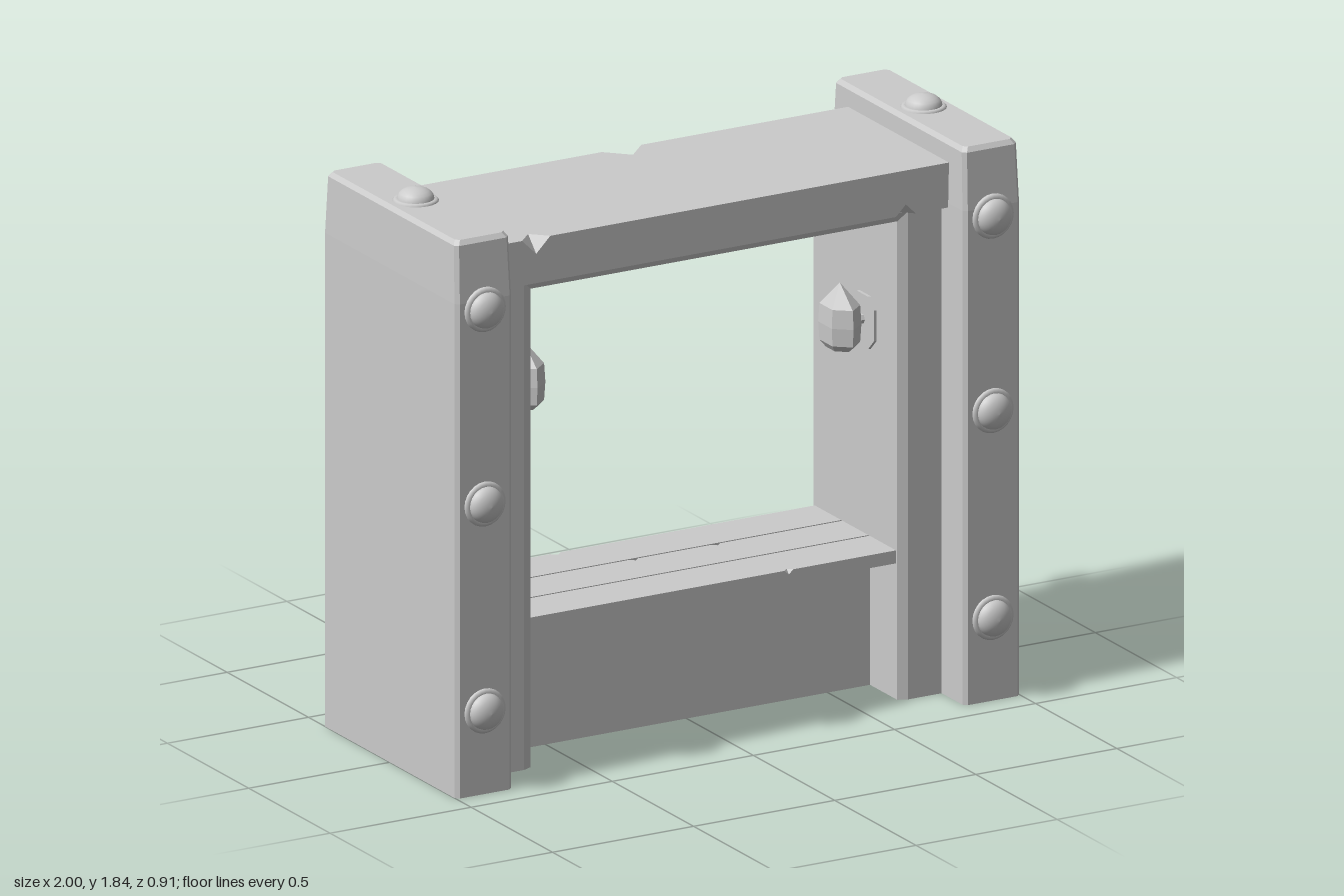
import * as THREE from 'three';

const flat = new THREE.MeshStandardMaterial({ color: 0xcccccc, flatShading: true });
const smooth = new THREE.MeshStandardMaterial({ color: 0xcccccc });

function mesh(parent, name, geometry, material = flat) {
  const m = new THREE.Mesh(geometry, material);
  m.name = name;
  parent.add(m);
  return m;
}

// Flat-faced geometry from a list of Vector3 triangle corners
function fromPoints(points) {
  const g = new THREE.BufferGeometry().setFromPoints(points);
  g.computeVertexNormals();
  return g;
}

// Joins closed convex rings of points and caps both ends
function loft(rings) {
  const out = [];
  const n = rings[0].length;
  const first = rings[0], last = rings[rings.length - 1];
  for (let i = 0; i < rings.length - 1; i++) {
    for (let j = 0; j < n; j++) {
      const k = (j + 1) % n;
      const a = rings[i][j], b = rings[i][k], c = rings[i + 1][k], d = rings[i + 1][j];
      out.push(a, b, c, a, c, d);
    }
  }
  for (let k = 1; k < n - 1; k++) {
    out.push(first[0], first[k + 1], first[k], last[0], last[k], last[k + 1]);
  }
  return fromPoints(out);
}

// Board along x with V-shaped chips cut from its long edges.
// Edges: 0 front bottom, 1 front top, 2 back top, 3 back bottom.
// Chip: [edge, x, half width, depth], listed in order of x.
function chippedBoard(w, y0, y1, z0, z1, chips) {
  const corners = [[y0, z1], [y1, z1], [y1, z0], [y0, z0]];
  const out = [];
  const on = (face, x, v) => {
    const [ya, za] = corners[face], [yb, zb] = corners[(face + 1) % 4];
    const len = Math.hypot(yb - ya, zb - za);
    return new THREE.Vector3(x, ya + (yb - ya) * v / len, za + (zb - za) * v / len);
  };
  for (let f = 0; f < 4; f++) {
    const len = f % 2 ? z1 - z0 : y1 - y0;
    const outline = [[-w, 0]];
    for (const [e, x, h, d] of chips) if (e === f) outline.push([x - h, 0], [x, d], [x + h, 0]);
    outline.push([w, 0], [w, len]);
    for (const [e, x, h, d] of [...chips].reverse()) {
      if (e === (f + 1) % 4) outline.push([x + h, len], [x, len - d], [x - h, len]);
    }
    outline.push([-w, len]);
    const pts = outline.map(([x, y]) => new THREE.Vector2(x, y));
    for (const tri of THREE.ShapeUtils.triangulateShape(pts, [])) {
      for (const i of tri) out.push(on(f, pts[i].x, pts[i].y));
    }
  }
  // The two sloping faces of every chip
  for (const [e, x, h, d] of chips) {
    const prev = (e + 3) % 4;
    const prevLen = prev % 2 ? z1 - z0 : y1 - y0;
    const a = on(e, x - h, 0), b = on(e, x + h, 0), c = on(e, x, d), g = on(prev, x, prevLen - d);
    out.push(a, g, c, b, c, g);
  }
  return fromPoints(out);
}

// Bevelled pillar ring at height y
function pillarRing(y, hx, hz, c = 0.012) {
  return [
    [-hx + c, hz], [hx - c, hz], [hx, hz - c], [hx, -hz + c],
    [hx - c, -hz], [-hx + c, -hz], [-hx, -hz + c], [-hx, hz - c],
  ].map(([x, z]) => new THREE.Vector3(x, y, z));
}

export function createModel() {
  const model = new THREE.Group();

  // Domed rivet on a thin washer, pointing along +y
  const rivetProfile = [[0.072, -0.012], [0.072, 0.004], [0.066, 0.01], [0.058, 0.01]];
  for (let i = 0; i <= 6; i++) {
    const t = i / 6 * Math.PI / 2;
    rivetProfile.push([0.058 * Math.cos(t), 0.01 + 0.036 * Math.sin(t)]);
  }
  const rivetGeo = new THREE.LatheGeometry(rivetProfile.map(([x, y]) => new THREE.Vector2(Math.max(x, 0), y)), 24);

  const pillarGeo = loft([
    pillarRing(0, 0.1, 0.41), pillarRing(1.6, 0.1, 0.41),
    pillarRing(1.785, 0.096, 0.398), pillarRing(1.8, 0.086, 0.386),
  ]);

  // Faceted lamp head, flattened towards the wall
  const lampGeo = new THREE.LatheGeometry(
    [[0, 1.1], [0.055, 1.1], [0.08, 1.122], [0.085, 1.18], [0.08, 1.24], [0, 1.31]]
      .map(([x, y]) => new THREE.Vector2(x, y)), 6);
  lampGeo.scale(0.71, 1, 1);

  // Wall plate with cut corners
  const plateShape = new THREE.Shape([
    [-0.07, -0.05], [-0.035, -0.085], [0.035, -0.085], [0.07, -0.05],
    [0.07, 0.05], [0.035, 0.085], [-0.035, 0.085], [-0.07, 0.05],
  ].map(([x, y]) => new THREE.Vector2(x, y)));
  const plateGeo = new THREE.ExtrudeGeometry(plateShape, { depth: 0.02, bevelEnabled: false });
  plateGeo.translate(0, 0, -0.01);

  for (const [side, s] of [['left', 1], ['right', -1]]) {
    // Pillar with rivets on front, back and top
    const pillar = new THREE.Group();
    pillar.name = side + 'Pillar';
    pillar.position.x = 0.9 * s;
    model.add(pillar);
    mesh(pillar, 'post', pillarGeo);
    for (const y of [0.27, 0.94, 1.57]) {
      for (const f of [1, -1]) {
        const r = mesh(pillar, 'rivet', rivetGeo, smooth);
        r.position.set(0, y, (y > 1.5 ? 0.411 : 0.41) * f);
        r.rotation.x = f * Math.PI / 2;
      }
    }
    mesh(pillar, 'topRivet', rivetGeo, smooth).position.set(0, 1.797, -0.015);

    // Wall lamp
    const lamp = new THREE.Group();
    lamp.name = side + 'WallLamp';
    lamp.position.z = 0.06;
    model.add(lamp);
    mesh(lamp, 'lampHead', lampGeo).position.x = 0.56 * s;
    const plate = mesh(lamp, 'wallPlate', plateGeo);
    plate.position.set(0.65 * s, 1.175, 0);
    plate.rotation.y = Math.PI / 2;
    const arm = mesh(lamp, 'arm', new THREE.CylinderGeometry(0.016, 0.016, 0.1, 6));
    arm.position.set(0.61 * s, 1.18, 0);
    arm.rotation.z = Math.PI / 2;
  }

  // Opening frame: bevelled section swept up, across and down with mitred corners
  const section = [[0.16, 0.27], [0.03, 0.27], [0, 0.257], [0, -0.257], [0.03, -0.27], [0.16, -0.27]];
  const stations = [[-1, 0], [-1, 1], [1, 1], [1, 0]];
  mesh(model, 'openingFrame', loft(stations.map(([sx, up]) =>
    section.map(([d, z]) => new THREE.Vector3(sx * (0.65 + d), up * (1.55 + d), z)))));

  // Chipped top beam
  mesh(model, 'topBeam', chippedBoard(0.81, 1.585, 1.73, -0.31, 0.31, [
    [1, -0.66, 0.05, 0.05], [2, 0, 0.07, 0.07], [0, 0.65, 0.035, 0.035],
  ]));

  // Low wall under the shelf
  mesh(model, 'lowWall', new THREE.BoxGeometry(1.32, 0.45, 0.18)).position.y = 0.225;

  // Three shelf planks with small chips
  const planks = [
    [0.087, 0.25, [[1, 0.27, 0.016, 0.014]]],
    [-0.08, 0.08, [[2, -0.09, 0.016, 0.014], [2, 0.2, 0.016, 0.014]]],
    [-0.25, -0.087, [[2, -0.27, 0.02, 0.018]]],
  ];
  for (const [z0, z1, chips] of planks) {
    mesh(model, 'shelfPlank', chippedBoard(0.655, 0.44, 0.482, z0, z1, chips));
  }
  mesh(model, 'shelfCore', new THREE.BoxGeometry(1.31, 0.024, 0.48)).position.y = 0.456;

  return model;
}
